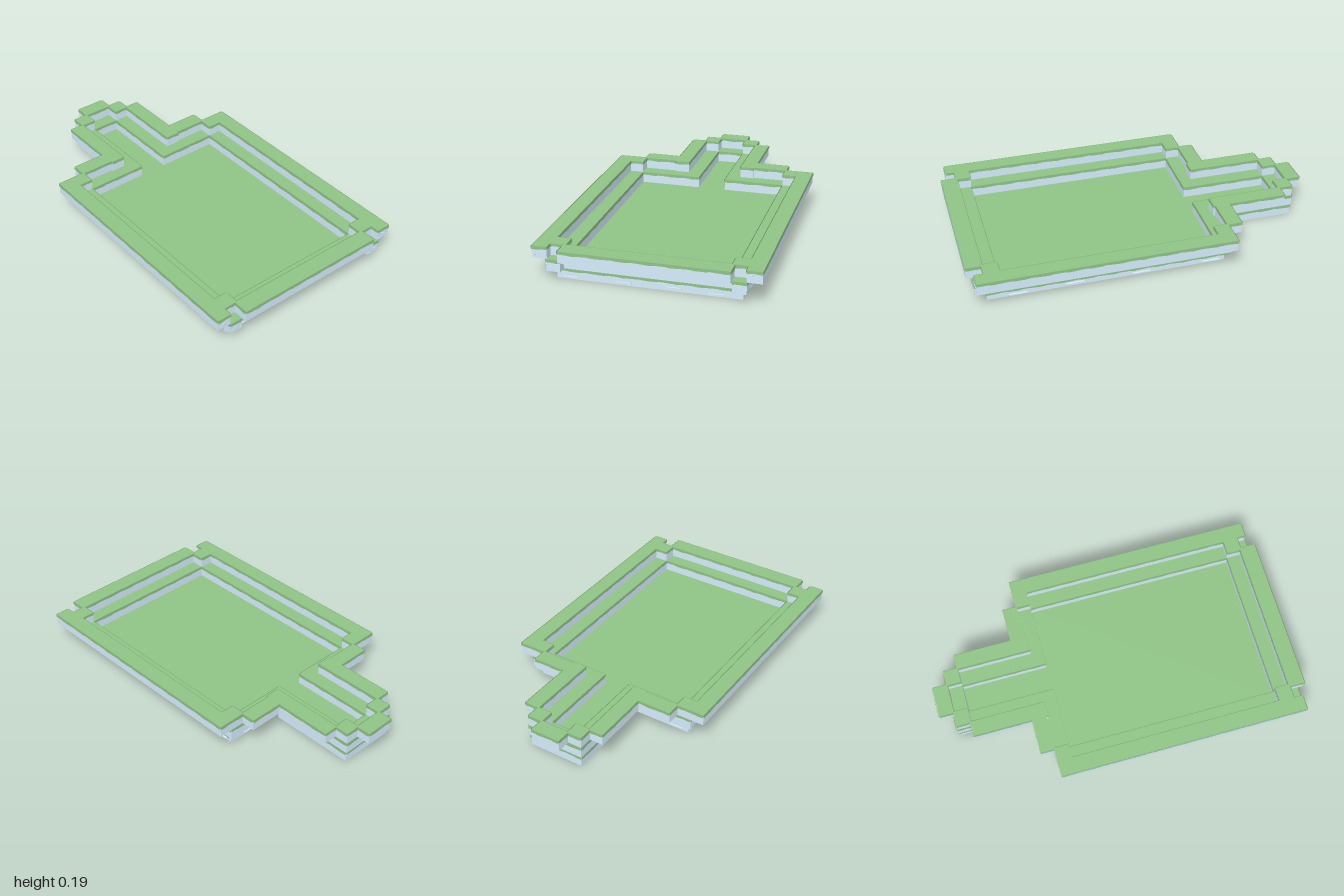
import * as THREE from 'three';

const stone = new THREE.MeshStandardMaterial({ color: 0xd5ecfd, flatShading: true });
const grass = new THREE.MeshStandardMaterial({ color: 0x8fc385, flatShading: true });
const fringe = new THREE.MeshStandardMaterial({ color: 0x8fc385, side: THREE.DoubleSide });

// Closed outline in (x, z) from its +x half, listed back to front
const mirror = half => [...half, ...half.map(([x, z]) => [-x, z]).reverse()];

function add(group, name, geometry, material) {
  const mesh = new THREE.Mesh(geometry, material);
  mesh.name = name;
  group.add(mesh);
}

function addBox(group, name, x, y, z, w, h, d) {
  add(group, name, new THREE.BoxGeometry(w, h, d).translate(x, y, z), stone);
}

// Horizontal slab between two heights, with an optional opening
function slab(outer, inner, y0, y1) {
  // Counter-clockwise, so that the walls of the opening face into it
  const toPoints = half => mirror(half).map(([x, z]) => new THREE.Vector2(x, -z)).reverse();
  const shape = new THREE.Shape(toPoints(outer));
  if (inner) shape.holes.push(new THREE.Path(toPoints(inner)));
  const geometry = new THREE.ExtrudeGeometry(shape, { depth: y1 - y0, bevelEnabled: false });
  return geometry.rotateX(-Math.PI / 2).translate(0, y0, 0);
}

// Wavy strip of grass hanging down along every wall of an outline
function addFringe(group, half, top, side) {
  const pts = mirror(half);
  pts.forEach(([ax, az], i) => {
    const [bx, bz] = pts[(i + 1) % pts.length];
    const dx = bx - ax, dz = bz - az, length = Math.hypot(dx, dz);
    const n = Math.max(4, Math.round(length / 0.025));
    const geometry = new THREE.PlaneGeometry(length, 1, n, 1);
    const p = geometry.attributes.position;
    for (let k = 0; k < p.count; k++) {
      const t = (k % (n + 1)) / n, s = t * length;
      const drop = 0.015 + 0.002 * Math.sin(s * 48 + i) + 0.001 * Math.sin(s * 111);
      p.setXYZ(k,
        ax + dx * t + side * dz / length * 0.004,
        k <= n ? top : top - drop,
        az + dz * t - side * dx / length * 0.004);
    }
    geometry.computeVertexNormals();
    add(group, 'grassFringe', geometry, fringe);
  });
}

function addTerrace(root, name, outer, inner, y0, y1) {
  const group = new THREE.Group();
  group.name = name;
  add(group, 'stoneWall', slab(outer, inner, y0, y1 - 0.012), stone);
  add(group, 'grassTop', slab(outer, inner, y1 - 0.012, y1), grass);
  addFringe(group, outer, y1, 1);
  addFringe(group, inner, y1, -1);
  root.add(group);
  return group;
}

// Small pebbles set into the front ends of the side walls
function addPebbles(group, x, y, z) {
  for (const s of [-1, 1])
    for (let i = 0; i < 9; i++)
      addBox(group, 'pebble', s * (x + ((i * 0.618) % 1 - 0.5) * 0.06),
        y + ((i * 0.382 + 0.2) % 1 - 0.5) * 0.036, z, 0.006, 0.004, 0.004);
}

export function createModel() {
  const root = new THREE.Group();
  root.name = 'terracedGround';

  // Stone foundations under the main area and the narrow rear arm
  addBox(root, 'mainFoundation', 0, 0.026, 0.2525, 0.97, 0.052, 1.305);
  addBox(root, 'rearFoundation', 0, 0.026, -0.675, 0.32, 0.052, 0.49);

  // Grass floor
  const floor = [[0.163, -0.92], [0.163, -0.41], [0.505, -0.41], [0.505, 0.915]];
  add(root, 'grassFloor', slab(floor, null, 0.052, 0.062), grass);
  addFringe(root, floor, 0.062, 1);

  // Thin flat bricks standing slightly proud of the foundation
  const bricks = [[-0.41, 0.013], [-0.39, 0.043], [-0.13, 0.014], [0.1, 0.037],
    [0.13, 0.019], [0.35, 0.012], [0.42, 0.044]];
  for (const [u, y] of bricks)
    for (const s of [-1, 1]) {
      addBox(root, 'sideBrick', s * 0.488, y, 0.2525 + s * u * 1.4, 0.016, 0.006, 0.1);
      addBox(root, 'endBrick', u, y, 0.2525 + s * 0.6525, 0.08, 0.006, 0.012);
    }

  // Middle terrace
  const middle = addTerrace(root, 'middleTerrace',
    [[0.165, -0.925], [0.165, -0.435], [0.515, -0.435], [0.515, 0.97], [0.442, 0.97], [0.442, 0.92]],
    [[0.08, -0.84], [0.08, -0.355], [0.43, -0.355], [0.43, 0.835]],
    0.062, 0.126);
  addPebbles(middle, 0.478, 0.087, 0.971);

  // Upper terrace with stepped corners
  const upper = addTerrace(root, 'upperTerrace',
    [[0.085, -1], [0.085, -0.922], [0.165, -0.922], [0.165, -0.845], [0.243, -0.845],
      [0.243, -0.515], [0.435, -0.515], [0.435, -0.437], [0.592, -0.437], [0.592, 0.965],
      [0.512, 0.965], [0.512, 0.915], [0.442, 0.915], [0.442, 1]],
    [[0.08, -0.917], [0.08, -0.84], [0.16, -0.84], [0.16, -0.422], [0.24, -0.422],
      [0.24, -0.432], [0.43, -0.432], [0.43, -0.355], [0.507, -0.355], [0.507, 0.832],
      [0.43, 0.832], [0.43, 0.91]],
    0.126, 0.19);
  addPebbles(upper, 0.552, 0.15, 0.966);

  return root;
}
